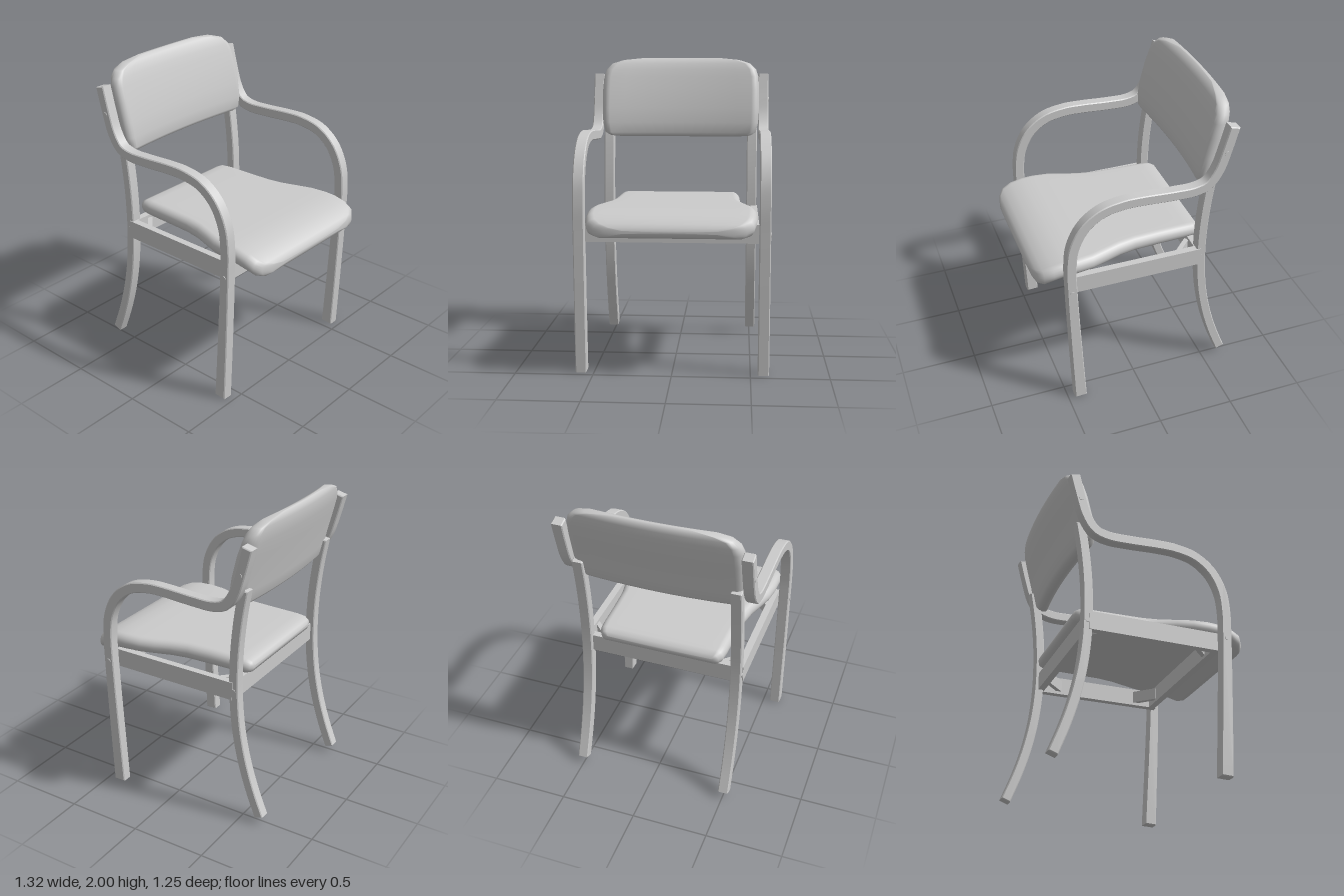
import * as THREE from 'three';
import { toCreasedNormals } from 'three/addons/utils/BufferGeometryUtils.js';

const material = new THREE.MeshStandardMaterial({ color: 0xcccccc });
const cushionMaterial = new THREE.MeshStandardMaterial({ color: 0xcccccc });

function add(parent, name, geometry, x = 0, y = 0, z = 0, mat = material) {
  const mesh = new THREE.Mesh(geometry, mat);
  mesh.name = name;
  mesh.position.set(x, y, z);
  parent.add(mesh);
  return mesh;
}

// Bent-wood strip: a centre line in the xy plane, thickened and extruded along z
function bentStrip(points, widthAt, depth, steps) {
  const curve = new THREE.CatmullRomCurve3(points.map(([x, y]) => new THREE.Vector3(x, y, 0)));
  const left = [], right = [];
  const bevel = 0.006;
  for (let i = 0; i <= steps; i++) {
    const u = i / steps;
    const p = curve.getPointAt(u), t = curve.getTangentAt(u);
    const h = widthAt(u) / 2 - bevel;
    left.push(new THREE.Vector2(p.x - t.y * h, p.y + t.x * h));
    right.push(new THREE.Vector2(p.x + t.y * h, p.y - t.x * h));
  }
  const geometry = new THREE.ExtrudeGeometry(new THREE.Shape([...right, ...left.reverse()]), {
    depth: depth - 2 * bevel, bevelEnabled: true, bevelSize: bevel, bevelThickness: bevel, bevelSegments: 1,
  });
  geometry.translate(0, 0, bevel - depth / 2);
  return toCreasedNormals(geometry, 0.6);
}

// Flat ring with rounded ends: s runs across the width, d across the thickness
function stadium(halfWidth, halfThick) {
  const ring = [], arc = 10, flat = 10, run = halfWidth - halfThick;
  for (const side of [1, -1]) {
    for (let i = 0; i <= arc; i++) {
      const a = -Math.PI / 2 + (Math.PI * i) / arc;
      ring.push([side * (run + halfThick * Math.cos(a)), side * halfThick * Math.sin(a)]);
    }
    for (let i = 1; i < flat; i++) ring.push([side * run * (1 - (2 * i) / flat), side * halfThick]);
  }
  return ring;
}

// Padded cushion: rings joined along an axis and closed at both ends
function cushion(sections, place) {
  const pos = [], index = [];
  let n = 0;
  for (const section of sections) {
    const ring = stadium(section[3], section[2]);
    n = ring.length;
    for (const [s, d] of ring) pos.push(...place(section, s, d));
  }
  const last = sections.length - 1;
  for (let i = 0; i < last; i++) {
    for (let j = 0; j < n; j++) {
      const k = (j + 1) % n;
      const a = i * n + j, b = i * n + k, c = a + n, e = b + n;
      index.push(a, b, e, a, e, c);
    }
  }
  const first = pos.length / 3;
  pos.push(...place(sections[0], 0, 0), ...place(sections[last], 0, 0));
  for (let j = 0; j < n; j++) {
    const k = (j + 1) % n;
    index.push(first, k, j, first + 1, last * n + j, last * n + k);
  }
  const geometry = new THREE.BufferGeometry();
  geometry.setAttribute('position', new THREE.Float32BufferAttribute(pos, 3));
  geometry.setIndex(index);
  geometry.computeVertexNormals();
  return geometry;
}

export function createModel() {
  const chair = new THREE.Group();
  chair.name = 'armchair';

  // Front leg, armrest and back post in one bent strip
  const armGeometry = bentStrip([
    [0.415, 0.005], [0.437, 0.45], [0.455, 0.9], [0.457, 1.1], [0.437, 1.24], [0.37, 1.37],
    [0.26, 1.455], [0.12, 1.487], [0, 1.488], [-0.2, 1.477], [-0.34, 1.477],
    [-0.425, 1.505], [-0.485, 1.59], [-0.53, 1.73], [-0.568, 1.875],
  ], (u) => (u < 0.35 ? 0.08 - 0.04 * u : 0.066), 0.072, 90);

  // Curved rear leg
  const legGeometry = bentStrip([
    [-0.632, 0.045], [-0.565, 0.22], [-0.51, 0.4], [-0.465, 0.62], [-0.442, 0.87],
    [-0.445, 1.15], [-0.47, 1.4], [-0.5, 1.58],
  ], () => 0.062, 0.07, 40);

  const boltGeometry = new THREE.CylinderGeometry(0.015, 0.015, 0.012, 12).rotateX(Math.PI / 2);

  for (const [side, sign] of [['left', -1], ['right', 1]]) {
    add(chair, side + 'ArmAndFrontLeg', armGeometry, 0, 0, sign * 0.583);
    add(chair, side + 'RearLeg', legGeometry, 0, 0, sign * 0.505);
    add(chair, side + 'SideRail', new THREE.BoxGeometry(0.88, 0.12, 0.045), 0.005, 0.905, sign * 0.523);
    add(chair, side + 'FrontBolt', boltGeometry, 0.455, 0.905, sign * 0.617);
    add(chair, side + 'RearBolt', boltGeometry, -0.442, 0.905, sign * 0.538);
    add(chair, side + 'PostBolt', boltGeometry, -0.528, 1.71, sign * 0.617);
    // Diagonal blocks bracing the frame corners
    for (const end of [-1, 1]) {
      const block = add(chair, side + 'CornerBlock', new THREE.BoxGeometry(0.17, 0.08, 0.03),
        end * 0.34, 0.905, sign * 0.45);
      block.rotation.y = end * sign * Math.PI / 4;
    }
  }

  // Cross rails under the seat
  add(chair, 'frontRail', new THREE.BoxGeometry(0.045, 0.12, 1.08), 0.415, 0.905, 0);
  add(chair, 'rearRail', new THREE.BoxGeometry(0.045, 0.12, 1.0), -0.425, 0.905, 0);

  // Seat sections from front to back: x, centre y, half thickness, half width
  const seat = [
    [0.655, 0.945, 0.01, 0.3], [0.648, 0.945, 0.028, 0.4], [0.632, 0.95, 0.044, 0.47],
    [0.6, 0.966, 0.052, 0.515], [0.54, 0.99, 0.053, 0.53], [0.46, 1.006, 0.052, 0.533],
    [0.38, 1.01, 0.052, 0.533], [0.28, 1.011, 0.052, 0.52], [0.18, 1.011, 0.052, 0.488],
    [0.08, 1.011, 0.052, 0.455], [-0.03, 1.011, 0.052, 0.435], [-0.2, 1.011, 0.052, 0.427],
    [-0.38, 1.011, 0.051, 0.422], [-0.44, 1.01, 0.047, 0.415], [-0.472, 1.008, 0.034, 0.395],
    [-0.484, 1.007, 0.01, 0.36],
  ];
  add(chair, 'seatCushion', cushion(seat, ([x, y], s, d) => [x, y + d, s]), 0, 0, 0, cushionMaterial);

  // Backrest sections from bottom to top: y, centre x, half thickness, half width
  const back = [
    [1.45, -0.465, 0.01, 0.4], [1.458, -0.465, 0.03, 0.49], [1.48, -0.468, 0.045, 0.53],
    [1.55, -0.478, 0.052, 0.548], [1.65, -0.497, 0.055, 0.553], [1.78, -0.53, 0.055, 0.553],
    [1.87, -0.555, 0.052, 0.547], [1.92, -0.567, 0.048, 0.53], [1.96, -0.577, 0.04, 0.49],
    [1.985, -0.584, 0.03, 0.41], [2.0, -0.59, 0.01, 0.26],
  ];
  // The backrest wraps forward toward its ends
  add(chair, 'backrestCushion', cushion(back, ([y, x], s, d) => [x + d + 0.035 * (s / 0.55) ** 2, y, s]),
    0, 0, 0, cushionMaterial);

  return chair;
}
